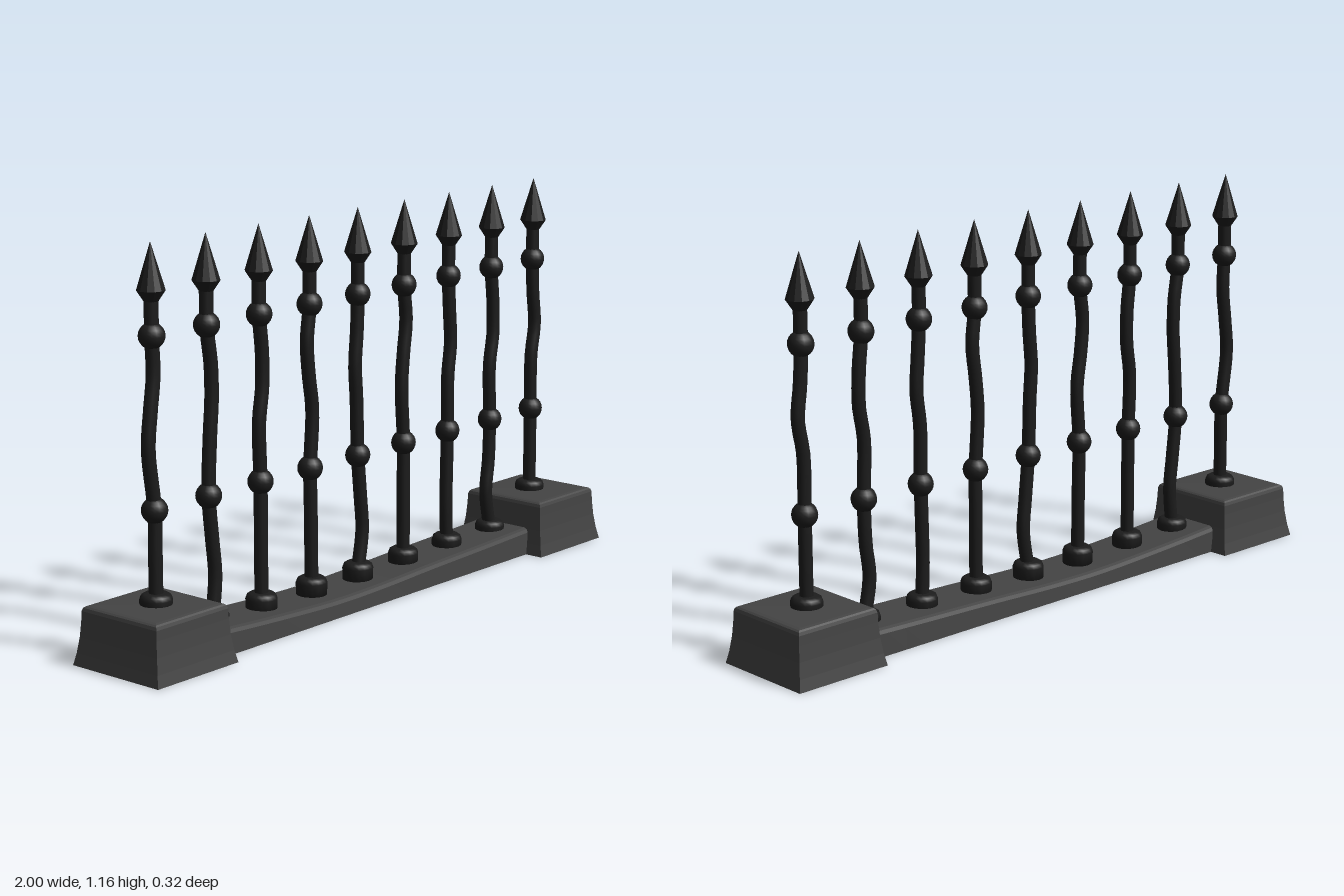
import * as THREE from 'three';

const stone = new THREE.MeshStandardMaterial({ color: 0x444444, flatShading: true, side: THREE.DoubleSide });
const iron = new THREE.MeshStandardMaterial({ color: 0x1c1c1c });
const ironFlat = new THREE.MeshStandardMaterial({ color: 0x1c1c1c, flatShading: true });

function add(parent, name, geometry, material, x = 0, y = 0) {
  const mesh = new THREE.Mesh(geometry, material);
  mesh.name = name;
  mesh.position.set(x, y, 0);
  parent.add(mesh);
  return mesh;
}

// Skin a list of cross-sections, each a row of [x, y, z] points
function loft(rows) {
  const n = rows[0].length;
  const index = [];
  for (let i = 0; i < rows.length - 1; i++) {
    for (let j = 0; j < n - 1; j++) {
      const a = i * n + j, b = a + 1, d = a + n, c = d + 1;
      index.push(a, b, c, a, c, d);
    }
  }
  const g = new THREE.BufferGeometry();
  g.setAttribute('position', new THREE.Float32BufferAttribute(rows.flat(2), 3));
  g.setIndex(index);
  g.computeVertexNormals();
  return g;
}

const lathe = (points, sides) =>
  new THREE.LatheGeometry(points.map(([r, y]) => new THREE.Vector2(r, y)), sides);

// Flared block: half width in x, half width in z, height; open underneath
const blockProfile = [
  [0.155, 0.162, 0], [0.148, 0.154, 0.035], [0.142, 0.147, 0.08], [0.139, 0.143, 0.125],
  [0.138, 0.142, 0.153], [0.135, 0.139, 0.162], [0.13, 0.134, 0.166], [0.12, 0.124, 0.168], [0, 0, 0.17],
];
const corners = [[-1, 1], [1, 1], [1, -1], [-1, -1], [-1, 1]];
const blockGeometry = loft(blockProfile.map(([hx, hz, y]) => corners.map(([sx, sz]) => [sx * hx, y, sz * hz])));

// Sagging, chamfered beam, open underneath
const sag = new THREE.SplineCurve([
  [-0.74, 0.081], [-0.5, 0.066], [-0.22, 0.054], [0, 0.056], [0.22, 0.065], [0.5, 0.074], [0.74, 0.083],
].map(([x, y]) => new THREE.Vector2(x, y)));
const beamGeometry = loft(sag.getPoints(24).map(({ x, y }) => [
  [x, 0, -0.104], [x, y - 0.014, -0.1], [x, y - 0.004, -0.095], [x, y, -0.085],
  [x, y, 0.085], [x, y - 0.004, 0.095], [x, y - 0.014, 0.1], [x, 0, 0.104],
]));

const collarGeometry = lathe([[0, 0], [0.045, 0], [0.046, 0.05], [0.042, 0.061], [0.033, 0.067], [0, 0.068]], 16);
const beadGeometry = new THREE.SphereGeometry(0.037, 16, 12);
const spearGeometry = lathe([[0, 1.0], [0.02, 1.0], [0.04, 1.03], [0, 1.16]], 12);

// Sideways bends of each bar at the heights below
const heights = [0.08, 0.2, 0.3, 0.43, 0.6, 0.7, 0.8, 0.9, 1.01];
const bends = [
  [0, 0, 0, 0, -0.02, -0.01, 0.003, 0, 0],
  [0.01, 0.022, 0.012, 0, 0.008, 0.016, 0.014, 0, 0],
  [0, 0, 0, 0, -0.004, 0.01, 0.01, 0, 0],
  [0.004, 0.003, 0.002, 0, 0.01, -0.004, -0.012, 0, 0],
  [0, 0.02, 0.012, 0, -0.006, -0.012, -0.004, 0, 0],
  [0, 0, 0, 0, -0.01, -0.002, 0.01, 0, 0],
  [0, -0.005, -0.003, 0, 0, 0.012, 0.006, 0, 0],
  [0.005, -0.016, -0.004, 0, -0.004, 0.012, 0.01, 0, 0],
  [0, 0, 0, 0, 0, 0.016, 0.005, 0, 0],
];

function bar(x, bend, collarTop) {
  const group = new THREE.Group();
  group.name = 'bar';
  group.position.x = x;
  const path = new THREE.CatmullRomCurve3(heights.map((y, i) => new THREE.Vector3(bend[i], y, 0)));
  add(group, 'rod', new THREE.TubeGeometry(path, 32, 0.02, 10), iron);
  add(group, 'collar', collarGeometry, iron, bend[0], collarTop - 0.068);
  add(group, 'lowerBead', beadGeometry, iron, 0, 0.43);
  add(group, 'upperBead', beadGeometry, iron, 0, 0.907);
  add(group, 'spearhead', spearGeometry, ironFlat);
  return group;
}

export function createModel() {
  const model = new THREE.Group();
  model.name = 'fence';
  add(model, 'rightBlock', blockGeometry, stone, -0.845);
  add(model, 'leftBlock', blockGeometry, stone, 0.845);
  add(model, 'beam', beamGeometry, stone);
  bends.forEach((bend, i) => {
    const onBlock = i === 0 || i === bends.length - 1;
    model.add(bar((i - 4) * 0.21, bend, onBlock ? 0.2 : 0.108));
  });
  return model;
}
